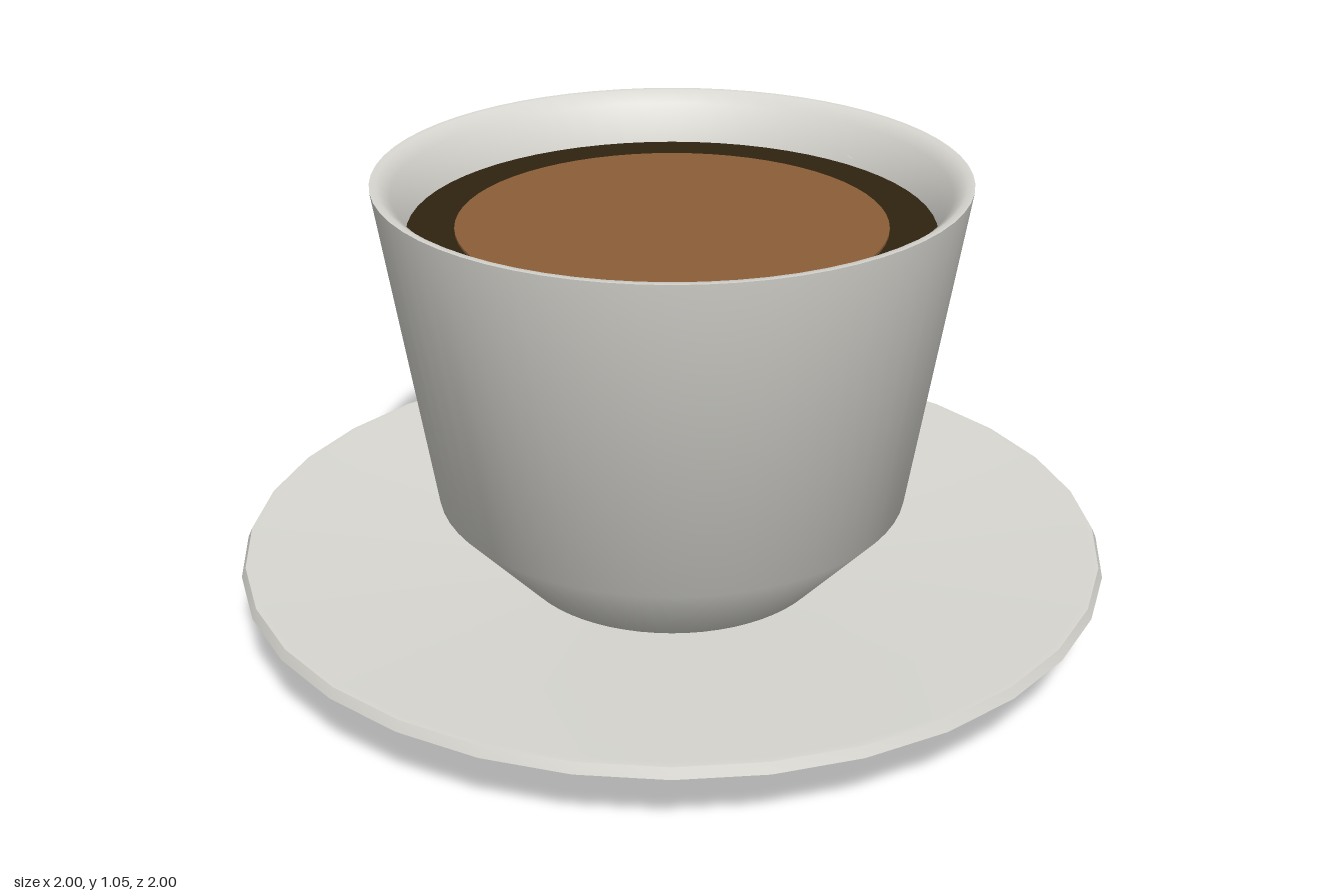
import * as THREE from 'three';
import { toCreasedNormals } from 'three/addons/utils/BufferGeometryUtils.js';

const material = (name, color) => {
  const m = new THREE.MeshStandardMaterial({ color });
  m.name = name;
  return m;
};

export function createModel() {
  const group = new THREE.Group();
  group.name = 'cupAndSaucer';
  const porcelain = material('porcelain', 0xd8d7d1);
  const coffeeBrown = material('coffeeBrown', 0x2f2210);
  const foamBrown = material('foamBrown', 0x8a5d38);

  const add = (name, geometry, mat, parent = group) => {
    const mesh = new THREE.Mesh(geometry, mat);
    mesh.name = name;
    parent.add(mesh);
    return mesh;
  };
  const lathe = (profile, segments) => toCreasedNormals(
    new THREE.LatheGeometry(profile.map(([r, y]) => new THREE.Vector2(r, y)), segments), 0.9);

  // Saucer: foot, flared underside, thin rim and shallow dished top
  add('saucer', lathe([
    [0, 0], [0.6, 0], [0.62, 0.04], [1, 0.155], [0.99, 0.178], [0.975, 0.178],
    [0.36, 0.105], [0, 0.105],
  ], 32), porcelain);

  // Cup: tapered base, flaring wall, bevelled lip and inner wall
  add('cup', lathe([
    [0, 0.1], [0.355, 0.1], [0.54, 0.3], [0.66, 1.055], [0.645, 1.055],
    [0.615, 1.03], [0.58, 0.92], [0.48, 0.32], [0, 0.2],
  ], 64), porcelain);

  // Drink surface with a foam disc floating on it
  const coffee = add('coffee', new THREE.CircleGeometry(0.588, 64), coffeeBrown);
  coffee.rotation.x = -Math.PI / 2;
  coffee.position.y = 0.94;
  const foam = add('foam', new THREE.CylinderGeometry(0.48, 0.48, 0.006, 64), foamBrown);
  foam.position.y = 0.943;

  // Handle: straight arms joined by a rounded grip
  const handle = new THREE.Group();
  handle.name = 'handle';
  group.add(handle);
  const v = (x, y) => new THREE.Vector3(x, y, 0);
  const path = new THREE.CurvePath();
  path.add(new THREE.LineCurve3(v(0.605, 0.38), v(0.8, 0.38)));
  path.add(new THREE.CubicBezierCurve3(v(0.8, 0.38), v(0.92, 0.38), v(0.925, 0.49), v(0.925, 0.645)));
  path.add(new THREE.CubicBezierCurve3(v(0.925, 0.645), v(0.925, 0.8), v(0.92, 0.91), v(0.8, 0.91)));
  path.add(new THREE.LineCurve3(v(0.8, 0.91), v(0.59, 0.91)));
  add('handleBar', new THREE.TubeGeometry(path, 48, 0.05, 16, false), porcelain, handle);

  // Cap on the free lower end
  const cap = add('handleEnd', new THREE.CircleGeometry(0.05, 16), porcelain, handle);
  cap.rotation.y = -Math.PI / 2;
  cap.position.set(0.605, 0.38, 0);

  return group;
}
